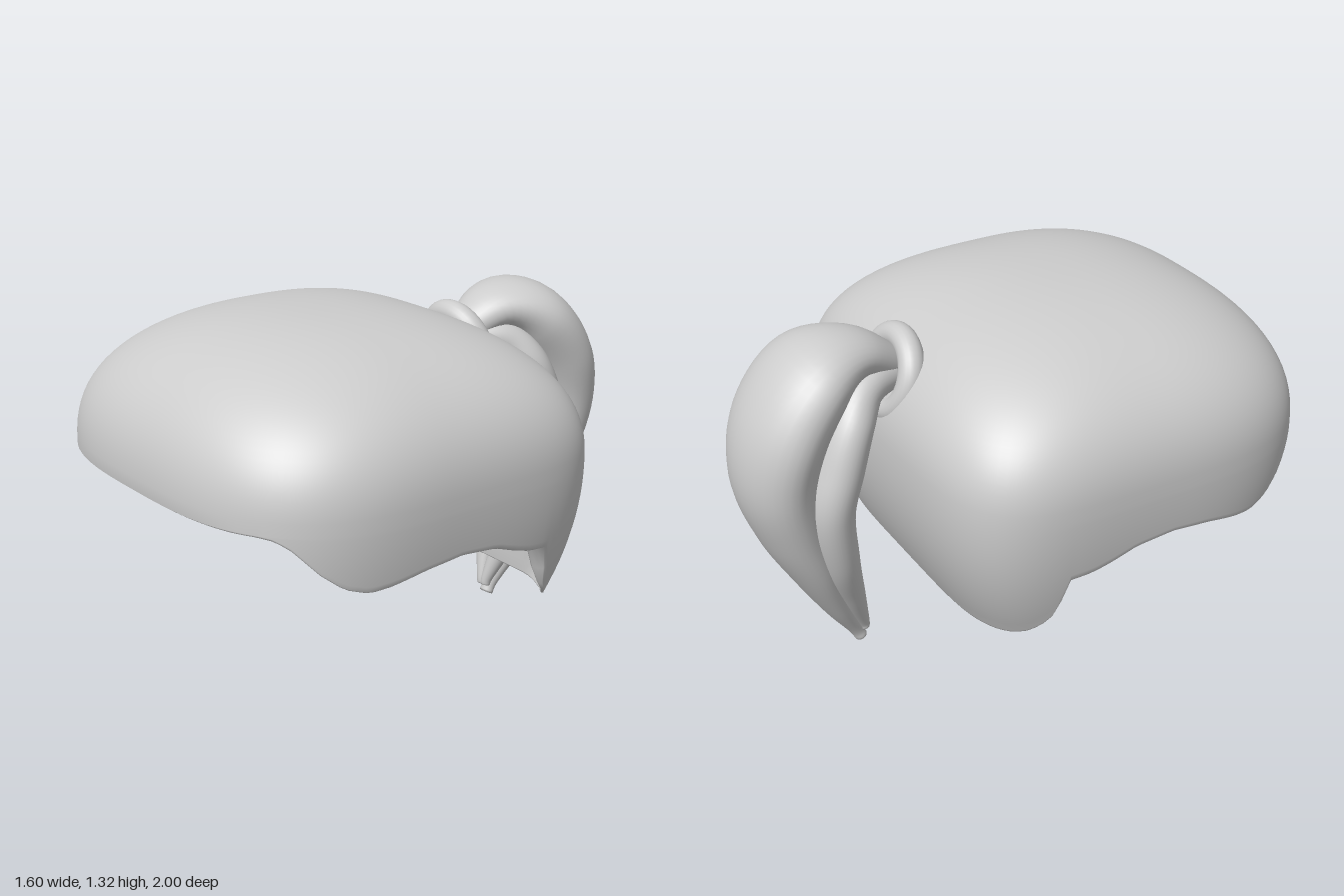
import * as THREE from 'three';
import { mergeVertices } from 'three/addons/utils/BufferGeometryUtils.js';

// Skin a list of closed rings (each an array of Vector3) into a smooth surface
function loft(rings) {
  const n = rings[0].length, pos = [], index = [];
  rings.forEach((ring) => ring.forEach((p) => pos.push(p.x, p.y, p.z)));
  for (let i = 0; i < rings.length - 1; i++) {
    for (let j = 0; j < n; j++) {
      const a = i * n + j, b = i * n + ((j + 1) % n);
      index.push(a, b, b + n, a, b + n, a + n);
    }
  }
  let g = new THREE.BufferGeometry();
  g.setAttribute('position', new THREE.Float32BufferAttribute(pos, 3));
  g.setIndex(index);
  g = mergeVertices(g, 1e-4);
  g.computeVertexNormals();
  return g;
}

// Height of the lower hem, listed as [z, y] from back to front
const HEM = [
  [-0.41, 0.32], [-0.355, 0.327], [-0.305, 0.345], [-0.26, 0.375], [-0.215, 0.42], [-0.18, 0.5],
  [-0.155, 0.58], [-0.07, 0.59], [0, 0.61], [0.1, 0.645], [0.25, 0.66], [0.4, 0.645],
  [0.53, 0.62], [0.61, 0.613], [0.69, 0.64], [0.76, 0.7], [0.83, 0.785], [0.865, 0.812], [0.9, 0.82],
];
function hemAt(z) {
  if (z <= HEM[0][0]) return HEM[0][1];
  for (let i = 1; i < HEM.length; i++) {
    const [z0, y0] = HEM[i - 1], [z1, y1] = HEM[i];
    if (z <= z1) return y0 + ((y1 - y0) * (z - z0)) / (z1 - z0);
  }
  return 0.82;
}

const BROW = 0.82, MID_Z = 0.255, SEG = 184, POWER = 2.4;

// Radius of a superellipse in direction theta
const radius = (theta, rx, rz, n) =>
  Math.pow(Math.pow(Math.abs(Math.cos(theta)) / rx, n) + Math.pow(Math.abs(Math.sin(theta)) / rz, n), -1 / n);
const boxiness = (theta) => (Math.sin(theta) > 0 ? 3.05 : 4.6);
const hemHeight = (theta) => hemAt(MID_Z + Math.sin(theta) * radius(theta, 0.8, 0.745, boxiness(theta)));

// Outside: oval at the crown, boxy at the brow, tapering below it
function outerRadius(theta, y) {
  const up = Math.max(0, y - BROW) / 0.5, down = Math.max(0, BROW - y) ** 2;
  const k = Math.pow(Math.max(0, 1 - Math.pow(up, POWER)), 1 / POWER);
  const n = 2.1 + (boxiness(theta) - 2.1) * k * k;
  return k * radius(theta, 0.8 * (1 - 0.45 * down), 0.745 * (1 - 0.64 * down), n);
}
// Inside: upright box-like hollow, kept within the outside
function innerRadius(theta, y) {
  const up = Math.max(0, y - BROW) / 0.42;
  const k = Math.pow(Math.max(0, 1 - Math.pow(up, 4)), 1 / 4);
  const box = k * radius(theta, 0.7, Math.sin(theta) > 0 ? 0.675 : 0.595, 12);
  return Math.max(0, Math.min(box, outerRadius(theta, y) - 0.012));
}
function capGeometry() {
  const ring = (radiusAt, heightAt) => Array.from({ length: SEG }, (_, j) => {
    const theta = (j / SEG) * Math.PI * 2, [y, drop] = heightAt(theta), r = radiusAt(theta, y);
    return new THREE.Vector3(Math.cos(theta) * r, y - drop, MID_Z + Math.sin(theta) * r);
  });
  // Rings from the crown down to the hem
  const side = (radiusAt, height, power) => {
    const rings = [];
    for (let i = 0; i <= 28; i++) {
      const y = BROW + height * Math.pow(Math.max(0, Math.cos((i / 28) * Math.PI / 2)), 2 / power);
      rings.push(ring(radiusAt, () => [y, 0]));
    }
    for (let i = 1; i <= 12; i++) {
      rings.push(ring(radiusAt, (theta) => [BROW + (hemHeight(theta) - BROW) * (i / 12), 0]));
    }
    return rings;
  };
  // Slightly rounded rim joining both sides
  const rim = [0.1, 0.5, 0.9].map((f) => ring(
    (theta, y) => outerRadius(theta, y) * (1 - f) + innerRadius(theta, y) * f,
    (theta) => [hemHeight(theta), f === 0.5 ? 0.007 : 0.005],
  ));
  return loft([...side(outerRadius, 0.5, POWER), ...rim, ...side(innerRadius, 0.42, 4).reverse()]);
}

// Tapered lock; each station is [x, y, z, half width, half depth]
function lockGeometry(stations, rows = 56, seg = 32) {
  const curve = (points) => new THREE.CatmullRomCurve3(points, false, 'catmullrom', 0.5);
  const path = curve(stations.map(([x, y, z]) => new THREE.Vector3(x, y, z)));
  const size = curve(stations.map((s) => new THREE.Vector3(s[3], s[4], 0)));
  const X = new THREE.Vector3(1, 0, 0), rings = [];
  for (let i = 0; i <= rows; i++) {
    const t = i / rows, c = path.getPoint(t), d = size.getPoint(t);
    const normal = path.getTangent(t).setX(0).normalize().cross(X);
    const ringAt = (f) => Array.from({ length: seg }, (_, j) => {
      const a = (j / seg) * Math.PI * 2;
      return c.clone().addScaledVector(X, d.x * f * Math.cos(a)).addScaledVector(normal, d.y * f * Math.sin(a));
    });
    if (i === 0) rings.push(ringAt(0));
    rings.push(ringAt(1));
    if (i === rows) rings.push(ringAt(0));
  }
  return loft(rings);
}

export function createModel() {
  const model = new THREE.Group();
  model.name = 'hairWithPonytail';
  const hair = new THREE.MeshStandardMaterial({ color: 0xcccccc });
  hair.name = 'hairGrey';
  const add = (name, geometry) => {
    const mesh = new THREE.Mesh(geometry, hair);
    mesh.name = name;
    model.add(mesh);
    return mesh;
  };

  add('hairCap', capGeometry());

  // Tie ring, its axis leaning back and up
  const tie = add('hairTie', new THREE.TorusGeometry(0.13, 0.046, 20, 48));
  tie.position.set(0, 1.075, -0.4);
  tie.rotation.x = 0.32;

  // Broad rear lock
  add('ponytail', lockGeometry([
    [0, 1.11, -0.4, 0.07, 0.06],
    [0, 1.19, -0.55, 0.14, 0.085],
    [0, 1.15, -0.7, 0.22, 0.13],
    [0, 0.99, -0.82, 0.238, 0.145],
    [0, 0.8, -0.86, 0.215, 0.14],
    [0, 0.6, -0.82, 0.185, 0.12],
    [0, 0.4, -0.745, 0.148, 0.09],
    [0, 0.2, -0.66, 0.085, 0.055],
    [0, 0.06, -0.59, 0.034, 0.028],
    [0, 0.012, -0.567, 0.028, 0.024],
  ]));

  // Pair of slimmer locks under it
  for (const [side, name] of [[1, 'leftLock'], [-1, 'rightLock']]) {
    add(name, lockGeometry([
      [0.04, 1.09, -0.4, 0.045, 0.045],
      [0.085, 1.085, -0.53, 0.07, 0.068],
      [0.125, 1.0, -0.615, 0.095, 0.078],
      [0.142, 0.85, -0.675, 0.1, 0.083],
      [0.135, 0.68, -0.715, 0.1, 0.083],
      [0.1, 0.45, -0.68, 0.09, 0.073],
      [0.055, 0.25, -0.618, 0.055, 0.05],
      [0.016, 0.09, -0.562, 0.024, 0.025],
      [0.01, 0.05, -0.552, 0.018, 0.018],
    ].map(([x, ...rest]) => [x * side, ...rest])));
  }
  return model;
}
